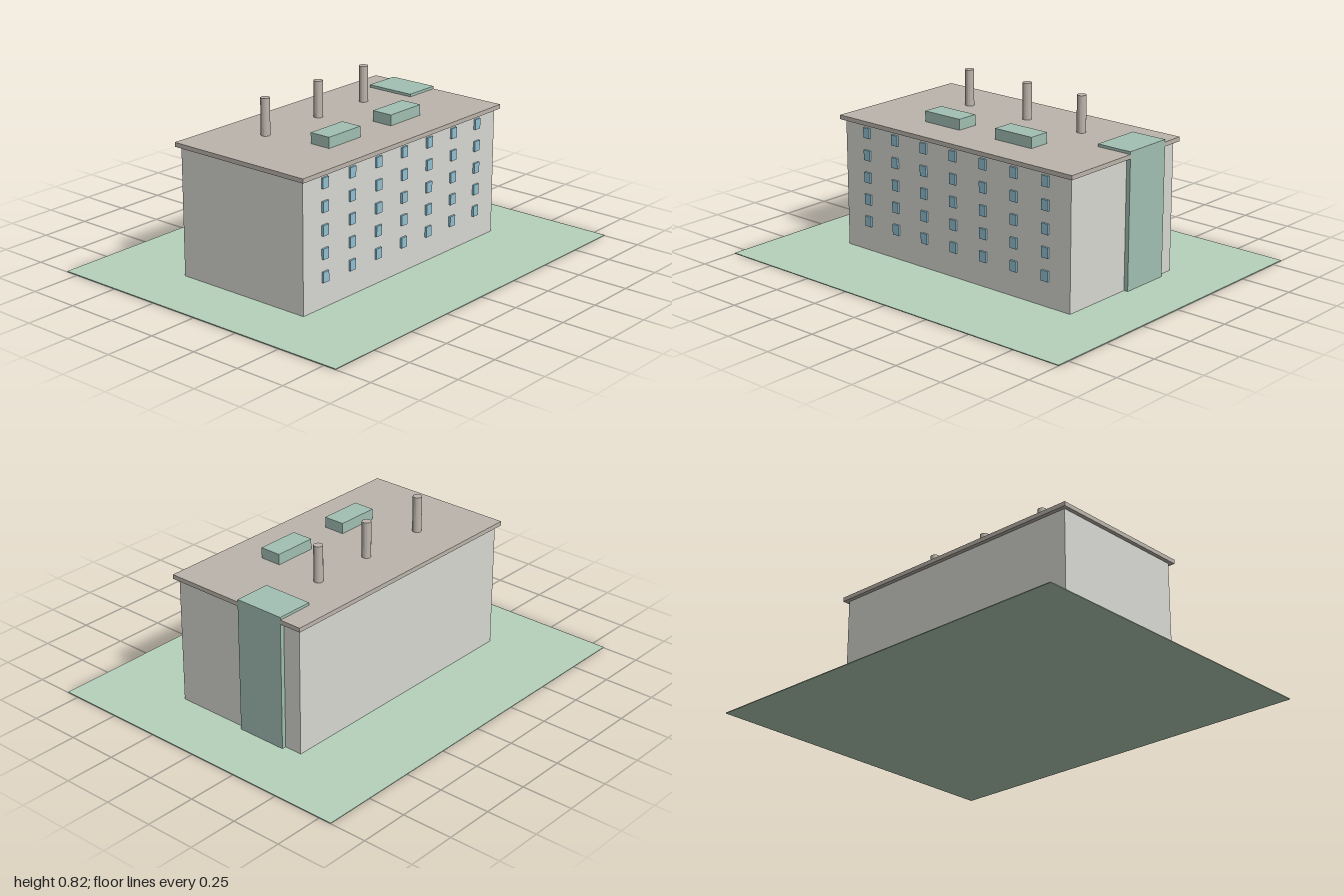
import * as THREE from 'three';

const paint = (color) => new THREE.MeshStandardMaterial({ color, flatShading: true });

export function createModel() {
  const model = new THREE.Group();
  const green = paint(0xb7d2bc), wall = paint(0xd8d8d3), stone = paint(0xbcb5ac);
  const teal = paint(0xa2c0b4), glass = paint(0x92c1d1);

  // Box given by its lower and upper corners
  function box(name, material, [x0, y0, z0], [x1, y1, z1], parent = model) {
    const mesh = new THREE.Mesh(new THREE.BoxGeometry(x1 - x0, y1 - y0, z1 - z0), material);
    mesh.position.set((x0 + x1) / 2, (y0 + y1) / 2, (z0 + z1) / 2);
    mesh.name = name;
    parent.add(mesh);
    return mesh;
  }

  // Lawn, main block and overhanging roof slab
  box('lawn', green, [-1, 0, -0.815], [1, 0.004, 0.815]);
  box('mainBlock', wall, [-0.687, 0.004, -0.362], [0.687, 0.627, 0.362]);
  box('roofSlab', stone, [-0.707, 0.627, -0.383], [0.707, 0.648, 0.383]);

  // Stair tower on the left side, rising just above the roof
  box('stairTower', teal, [0.525, 0.004, -0.272], [0.708, 0.661, -0.019]);

  // Two ventilation units on the roof
  for (const x of [-0.219, 0.215]) {
    box('roofUnit', teal, [x - 0.108, 0.648, 0.092], [x + 0.108, 0.7, 0.2]);
  }

  // Row of three chimneys
  for (const x of [-0.365, -0.002, 0.325]) {
    const chimney = new THREE.Mesh(new THREE.CylinderGeometry(0.022, 0.022, 0.177, 16), stone);
    chimney.position.set(x, 0.7365, -0.147);
    chimney.name = 'chimney';
    model.add(chimney);
  }

  // Front windows, seven columns on five floors
  const windows = new THREE.Group();
  windows.name = 'frontWindows';
  model.add(windows);
  for (let floor = 0; floor < 5; floor++) {
    for (let column = -3; column <= 3; column++) {
      const x = column * 0.182, y = 0.15 + floor * 0.109;
      box('window', glass, [x - 0.019, y - 0.025, 0.355], [x + 0.019, y + 0.025, 0.372], windows);
    }
  }
  return model;
}
